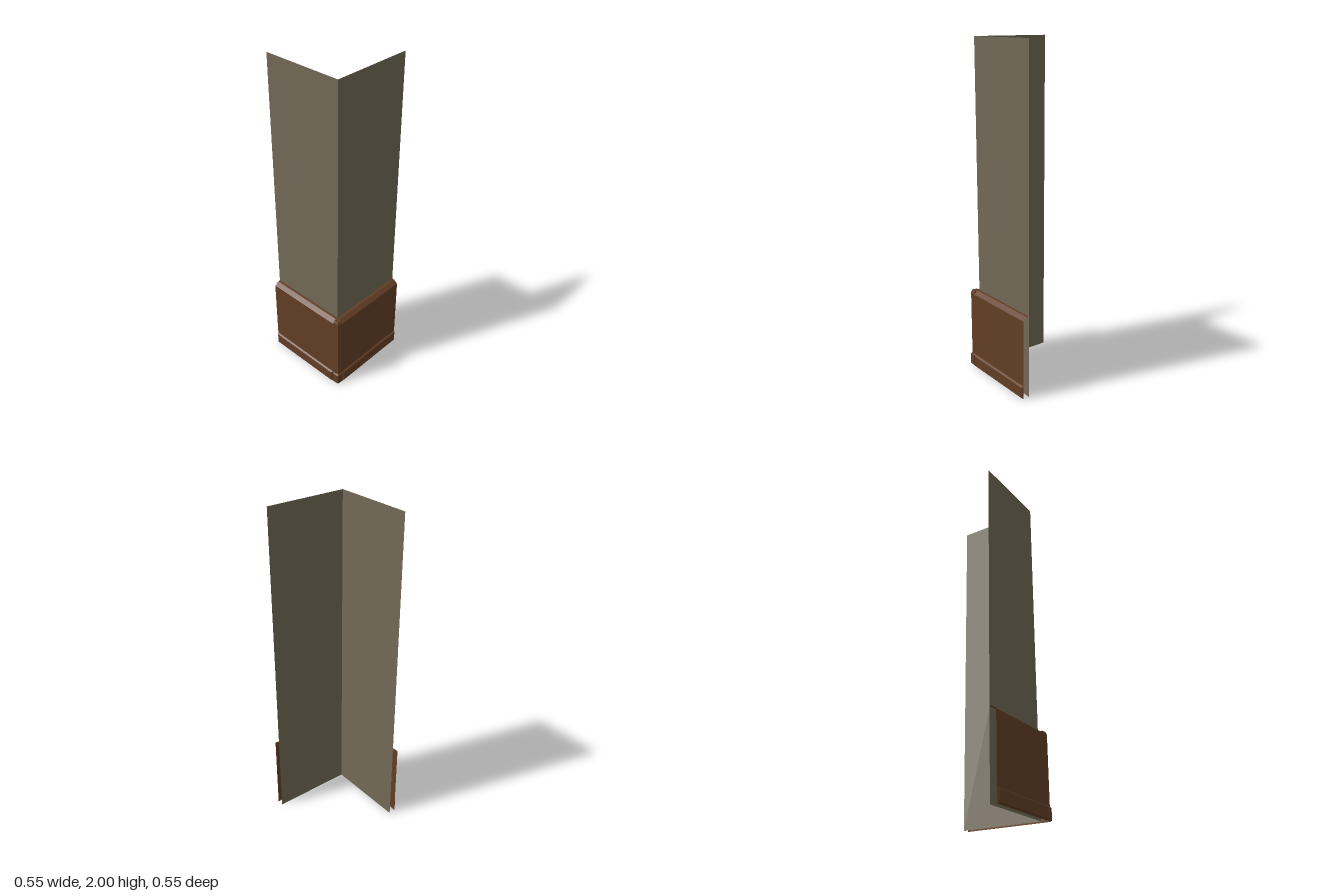
import * as THREE from 'three';

const plaster = new THREE.MeshStandardMaterial({ color: 0x726955, side: THREE.DoubleSide });
plaster.name = 'plaster';
const wood = new THREE.MeshStandardMaterial({ color: 0x633e25, side: THREE.DoubleSide });
wood.name = 'darkWood';

const WALL = 0.225; // plane of each wall
const END = -0.275; // free end of each wall

// Flat-shaded strip of quads joining rows of points; "swap" mirrors x and z
function loft(name, rows, material, { swap = false, cap = false } = {}) {
  const pos = [];
  const tri = (a, b, c) => {
    for (const p of swap ? [a, c, b] : [a, b, c]) {
      pos.push(swap ? p[2] : p[0], p[1], swap ? p[0] : p[2]);
    }
  };
  for (let r = 0; r < rows.length - 1; r++) {
    const lo = rows[r], hi = rows[r + 1];
    for (let i = 0; i < lo.length - 1; i++) {
      tri(lo[i], lo[i + 1], hi[i + 1]);
      tri(lo[i], hi[i + 1], hi[i]);
    }
  }
  // close the last row with a fan
  if (cap) {
    const top = rows[rows.length - 1];
    for (let i = 1; i < top.length - 1; i++) tri(top[0], top[i], top[i + 1]);
  }
  const geo = new THREE.BufferGeometry();
  geo.setAttribute('position', new THREE.Float32BufferAttribute(pos, 3));
  geo.computeVertexNormals();
  const mesh = new THREE.Mesh(geo, material);
  mesh.name = name;
  return mesh;
}

// One row per (distance from wall, height) pair of a profile
const profileRows = (profile, x0, x1) =>
  profile.map(([d, y]) => [[x0, y, WALL + d], [x1, y, WALL + d]]);

// Closed rectangle in the plane z
const rectangle = (x0, x1, y0, y1, z) =>
  [[x0, y0, z], [x1, y0, z], [x1, y1, z], [x0, y1, z], [x0, y0, z]];

// Wall, wainscot panel and baseboard along one side
function createSide(name, swap) {
  const side = new THREE.Group();
  side.name = name;
  side.add(
    loft('wall', profileRows([[0, 0], [0, 2]], END, WALL), plaster, { swap }),
    loft('wainscotPanel',
      profileRows([[0.04, 0.01], [0.04, 0.48], [0.015, 0.5], [0, 0.5]], END, WALL), wood, { swap }),
    // bevelled on all four edges
    loft('baseboard', [
      rectangle(END, WALL, 0, 0.08, 0.265),
      rectangle(END + 0.008, WALL - 0.008, 0.008, 0.073, 0.275),
    ], wood, { swap, cap: true }),
  );
  return side;
}

// Post that covers the outer corner, with a chamfered top and a bevelled foot
function createCorner() {
  const corner = new THREE.Group();
  corner.name = 'cornerTrim';
  const ring = (y, pts) => pts.map(([x, z]) => [x, y, z]);
  const body = [[WALL, WALL], [WALL, 0.265], [0.262, 0.262], [0.265, WALL]];
  const top = [[WALL, WALL], [WALL, 0.253], [0.257, 0.257], [0.253, WALL]];
  const outer = [[WALL, 0.265], [0.232, 0.273], [0.27, 0.268], [0.274, 0.231], [0.265, WALL]];
  const inner = [[WALL, 0.265], [0.232, 0.267], [0.262, 0.262], [0.267, 0.231], [0.265, WALL]];
  corner.add(
    loft('cornerPost', [
      ring(0.01, body.slice(1)), ring(0.485, body.slice(1)), ring(0.5, top.slice(1)),
    ], wood),
    loft('cornerCap', [ring(0.5, top)], wood, { cap: true }),
    loft('cornerFoot', [
      ring(0, inner), ring(0.008, outer), ring(0.073, outer), ring(0.08, inner),
    ], wood),
  );
  return corner;
}

export function createModel() {
  const model = new THREE.Group();
  model.name = 'wainscotCorner';
  model.add(createSide('frontSide', false), createSide('leftSide', true), createCorner());
  return model;
}
